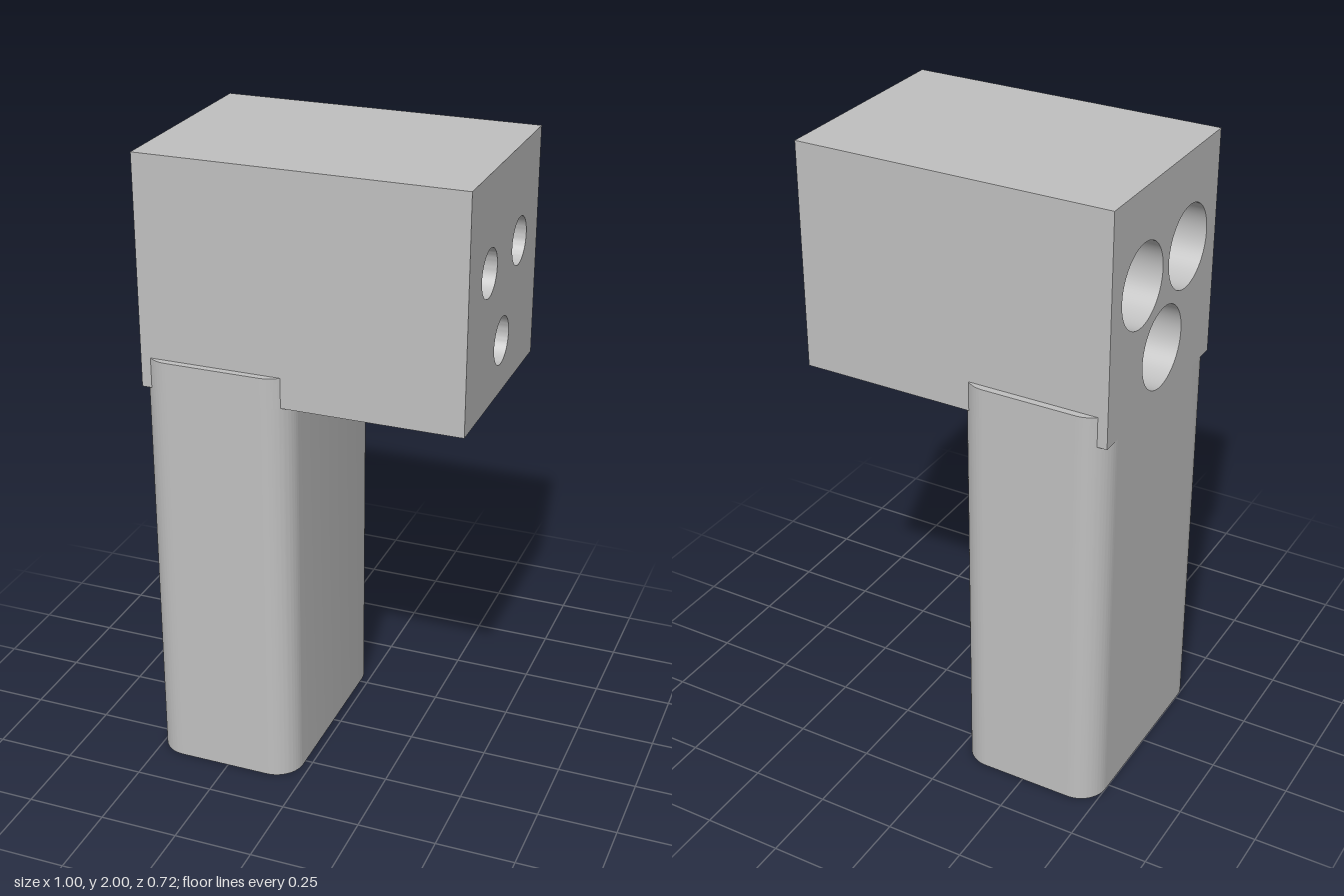
import * as THREE from 'three';
import { toCreasedNormals } from 'three/addons/utils/BufferGeometryUtils.js';

export function createModel() {
  const model = new THREE.Group();
  model.name = 'threeBoreGrip';
  const grey = new THREE.MeshStandardMaterial({ color: 0xc0c0c0 });
  grey.name = 'plain grey';

  const halfZ = 0.338, bottom = 1.285, top = 2;
  const bores = [[-0.147, 1.707], [0.147, 1.707], [0, 1.45]];

  function extrude(name, shape, depth) {
    const geometry = new THREE.ExtrudeGeometry(shape, { depth, bevelEnabled: false, curveSegments: 32 });
    const mesh = new THREE.Mesh(toCreasedNormals(geometry, 0.6), grey);
    mesh.name = name;
    model.add(mesh);
    return mesh;
  }

  // Block section pierced by three bores, running along x
  function blockSection(name, x0, x1, radius) {
    const shape = new THREE.Shape([
      new THREE.Vector2(-halfZ, bottom), new THREE.Vector2(halfZ, bottom),
      new THREE.Vector2(halfZ, top), new THREE.Vector2(-halfZ, top),
    ]);
    for (const [z, y] of bores) {
      shape.holes.push(new THREE.Path().absarc(z, y, radius, 0, Math.PI * 2, true));
    }
    const mesh = extrude(name, shape, x1 - x0);
    mesh.geometry.rotateY(Math.PI / 2);
    mesh.position.x = x0;
  }
  blockSection('wideBoreBlock', -0.5, 0, 0.128);
  blockSection('narrowBoreBlock', 0, 0.5, 0.073);

  // Upright grip with rounded corners
  const x0 = -0.5, x1 = -0.025, gripZ = 0.36, r = 0.09;
  const grip = new THREE.Shape();
  grip.absarc(x1 - r, gripZ - r, r, 0, Math.PI / 2);
  grip.absarc(x0 + r, gripZ - r, r, Math.PI / 2, Math.PI);
  grip.absarc(x0 + r, r - gripZ, r, Math.PI, Math.PI * 1.5);
  grip.absarc(x1 - r, r - gripZ, r, Math.PI * 1.5, Math.PI * 2);
  grip.closePath();
  extrude('grip', grip, bottom).geometry.rotateX(-Math.PI / 2);

  // Grip cheeks lapping up both sides of the block
  const a = Math.asin((halfZ - gripZ + r) / r);
  for (const turn of [0, Math.PI]) {
    const cheek = new THREE.Shape();
    const half = (x1 - x0) / 2 - r;
    cheek.absarc(half, gripZ - r, r, a, Math.PI / 2);
    cheek.absarc(-half, gripZ - r, r, Math.PI / 2, Math.PI - a);
    cheek.closePath();
    const mesh = extrude(turn ? 'frontCheek' : 'backCheek', cheek, 1.38 - bottom);
    mesh.geometry.rotateX(-Math.PI / 2);
    mesh.rotation.y = turn;
    mesh.position.set((x0 + x1) / 2, bottom, 0);
  }
  return model;
}
